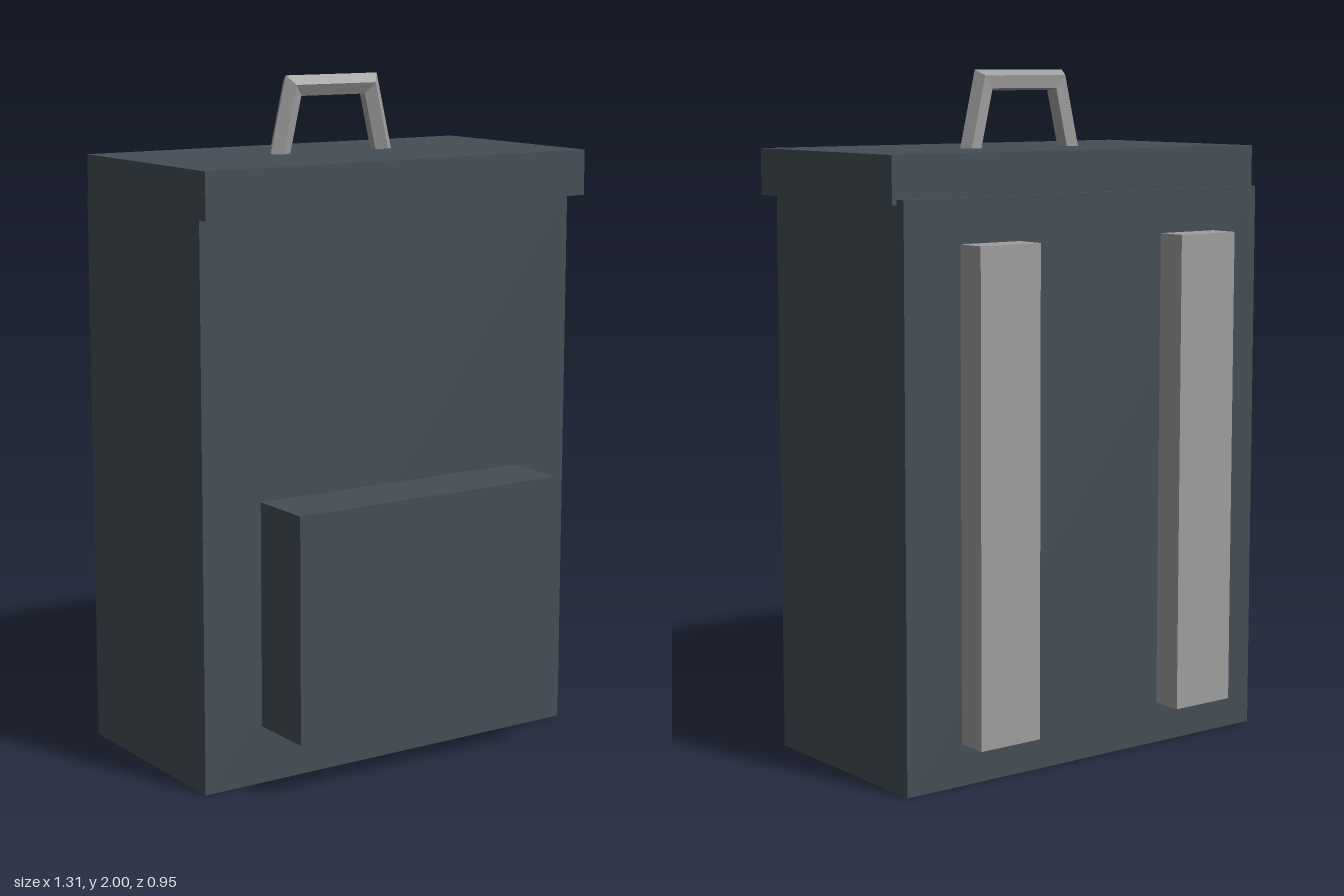
import * as THREE from 'three';

const fabric = new THREE.MeshStandardMaterial({ color: 0x444d55 });
fabric.name = 'slate fabric';
const webbing = new THREE.MeshStandardMaterial({ color: 0x9e9e9e });
webbing.name = 'grey webbing';

// Box given by its extents on each axis
function box(name, material, [x0, x1], [y0, y1], [z0, z1]) {
  const mesh = new THREE.Mesh(new THREE.BoxGeometry(x1 - x0, y1 - y0, z1 - z0), material);
  mesh.position.set((x0 + x1) / 2, (y0 + y1) / 2, (z0 + z1) / 2);
  mesh.name = name;
  return mesh;
}

// Five-sided bar swept along a trapezoid with mitred corners
function handleGeometry() {
  const sides = 5, radius = 0.032;
  // Each station: centre x, y, and how far x and y move per unit outward
  const path = [
    [-0.184, 1.76, -1.03, 0],
    [-0.135, 1.969, -0.8, 1],
    [0.135, 1.969, 0.8, 1],
    [0.184, 1.76, 1.03, 0],
  ];
  const point = (i, j) => {
    const [x, y, ox, oy] = path[i];
    const a = THREE.MathUtils.degToRad(10) + (j / sides) * Math.PI * 2;
    const out = Math.cos(a) * radius;
    return [x + ox * out, y + oy * out, -0.05 + Math.sin(a) * radius];
  };
  const positions = [];
  const tri = (...corners) => corners.forEach((c) => positions.push(...c));
  for (let i = 0; i < path.length - 1; i++) {
    for (let j = 0; j < sides; j++) {
      const a = point(i, j), b = point(i, j + 1), c = point(i + 1, j + 1), d = point(i + 1, j);
      tri(a, b, c);
      tri(a, c, d);
    }
  }
  // End caps
  const last = path.length - 1;
  for (let j = 1; j < sides - 1; j++) {
    tri(point(0, 0), point(0, j + 1), point(0, j));
    tri(point(last, 0), point(last, j), point(last, j + 1));
  }
  const geometry = new THREE.BufferGeometry();
  geometry.setAttribute('position', new THREE.Float32BufferAttribute(positions, 3));
  geometry.computeVertexNormals();
  return geometry;
}

export function createModel() {
  const backpack = new THREE.Group();
  backpack.name = 'backpack';

  backpack.add(
    box('body', fabric, [-0.64, 0.64], [0, 1.655], [-0.375, 0.27]),
    box('lid', fabric, [-0.655, 0.655], [1.64, 1.775], [-0.342, 0.33]),
    box('frontPocket', fabric, [-0.45, 0.45], [0.17, 0.83], [0.26, 0.475]),
  );

  // Shoulder straps on the back
  backpack.add(
    box('rightStrap', webbing, [-0.464, -0.259], [0.125, 1.53], [-0.478, -0.385]),
    box('leftStrap', webbing, [0.255, 0.46], [0.125, 1.53], [-0.478, -0.385]),
  );

  // Carry handle
  const handle = new THREE.Mesh(handleGeometry(), webbing);
  handle.name = 'handle';
  backpack.add(handle);

  return backpack;
}
